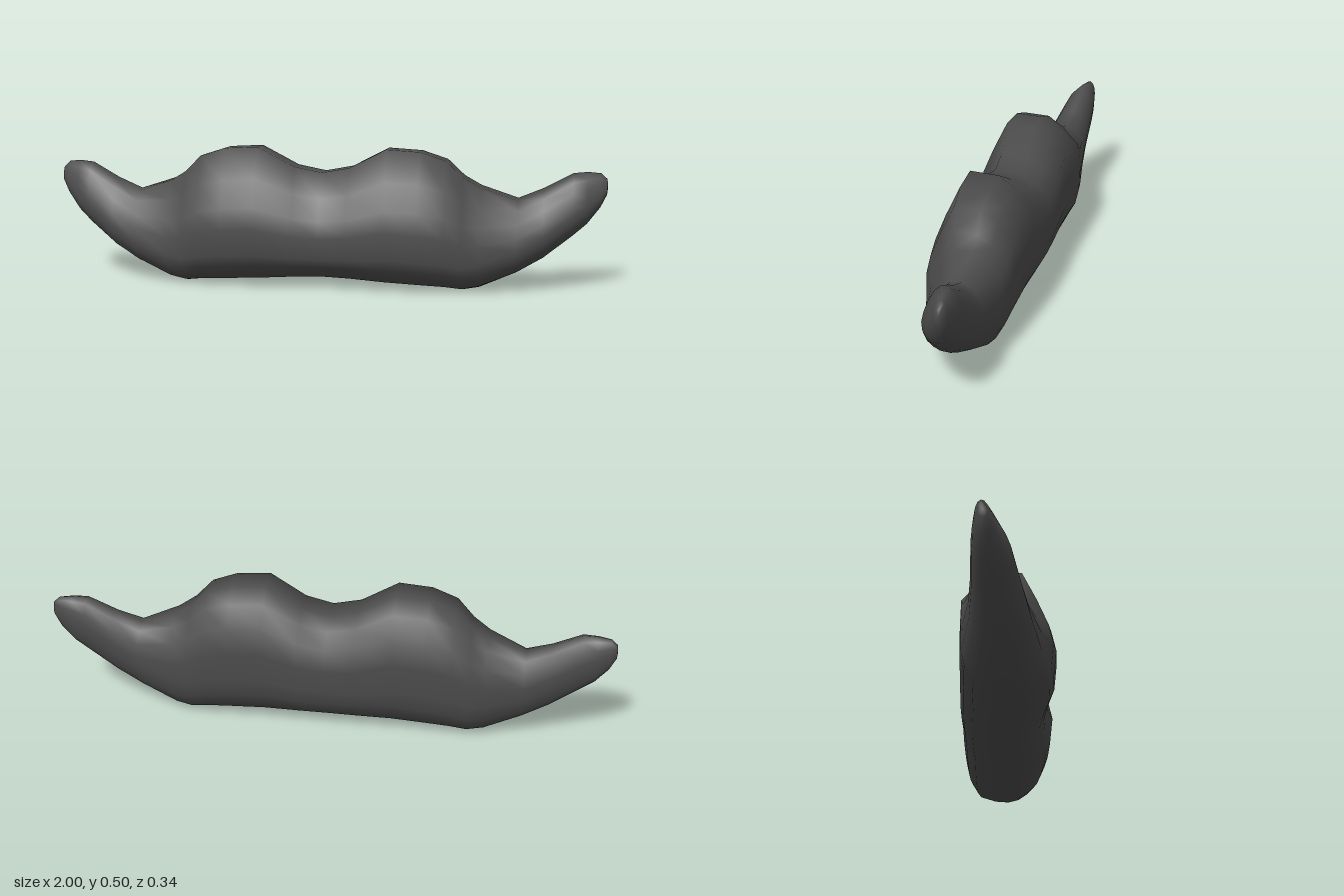
import * as THREE from 'three';

// Cross-sections as [depth, height] in 0..1 (depth 0 = back), from the top over the back to the front
const BODY = [[0.67, 1], [0.37, 0.99], [0.19, 0.9], [0.01, 0.77], [0, 0.55], [0, 0.34], [0.04, 0.2], [0.14, 0.06],
  [0.37, 0.02], [0.55, 0], [0.7, 0.02], [0.81, 0.07], [0.92, 0.14], [0.97, 0.22], [1, 0.42], [0.95, 0.57], [0.83, 0.77]];
const TIP = [[0.52, 0.97], [0.35, 1], [0.17, 0.93], [0.04, 0.77], [0, 0.58], [0.02, 0.4], [0.1, 0.2], [0.25, 0.07],
  [0.45, 0], [0.65, 0.01], [0.8, 0.06], [0.91, 0.13], [0.98, 0.23], [1, 0.36], [0.94, 0.52], [0.83, 0.7], [0.68, 0.87]];

// Stations along one half: x, bottom y, top y, back z, front z
const STATIONS = [
  [0, 0.033, 0.415, -0.17, 0.135],
  [0.1, 0.03, 0.435, -0.169, 0.143],
  [0.23, 0.023, 0.505, -0.167, 0.165],
  [0.35, 0.017, 0.498, -0.166, 0.16],
  [0.44, 0.012, 0.468, -0.163, 0.148],
  [0.5, 0.004, 0.41, -0.158, 0.13],
  [0.56, 0.014, 0.375, -0.15, 0.112],
  [0.69, 0.07, 0.33, -0.13, 0.073],
  [0.78, 0.122, 0.367, -0.122, 0.045],
  [0.88, 0.2, 0.42, -0.12, 0.012],
  [0.93, 0.242, 0.424, -0.115, -0.02],
  [0.975, 0.3, 0.42, -0.107, -0.05],
  [0.997, 0.345, 0.4, -0.098, -0.066],
];

function mirroredStations() {
  const left = STATIONS.slice(1).reverse().map(([x, ...rest]) => [-x, ...rest]);
  return [...left, ...STATIONS];
}

// Skin the sections into one closed smooth surface
function loftGeometry() {
  const rings = mirroredStations();
  const n = BODY.length;
  const positions = [];
  const index = [];
  for (const [x, y0, y1, z0, z1] of rings) {
    const blend = THREE.MathUtils.smoothstep(Math.abs(x), 0.4, 0.8);
    for (let j = 0; j < n; j++) {
      const u = THREE.MathUtils.lerp(BODY[j][0], TIP[j][0], blend);
      const v = THREE.MathUtils.lerp(BODY[j][1], TIP[j][1], blend);
      positions.push(x, y0 + (y1 - y0) * v, z0 + (z1 - z0) * u);
    }
  }
  for (let i = 0; i < rings.length - 1; i++) {
    for (let j = 0; j < n; j++) {
      const k = (j + 1) % n;
      const a = i * n + j, b = i * n + k, c = a + n, d = b + n;
      index.push(a, c, b, b, c, d);
    }
  }
  // Rounded ends
  for (const side of [-1, 1]) {
    const start = side < 0 ? 0 : (rings.length - 1) * n;
    const centre = positions.length / 3;
    positions.push(side, 0.372, -0.082);
    for (let j = 0; j < n; j++) {
      const p = start + j, q = start + ((j + 1) % n);
      if (side < 0) index.push(centre, p, q);
      else index.push(centre, q, p);
    }
  }
  const geometry = new THREE.BufferGeometry();
  geometry.setAttribute('position', new THREE.Float32BufferAttribute(positions, 3));
  geometry.setIndex(index);
  geometry.computeVertexNormals();
  return geometry;
}

export function createModel() {
  const group = new THREE.Group();
  group.name = 'moustacheModel';
  const material = new THREE.MeshStandardMaterial({ color: 0x4c4c4c });
  const moustache = new THREE.Mesh(loftGeometry(), material);
  moustache.name = 'moustache';
  group.add(moustache);
  return group;
}
